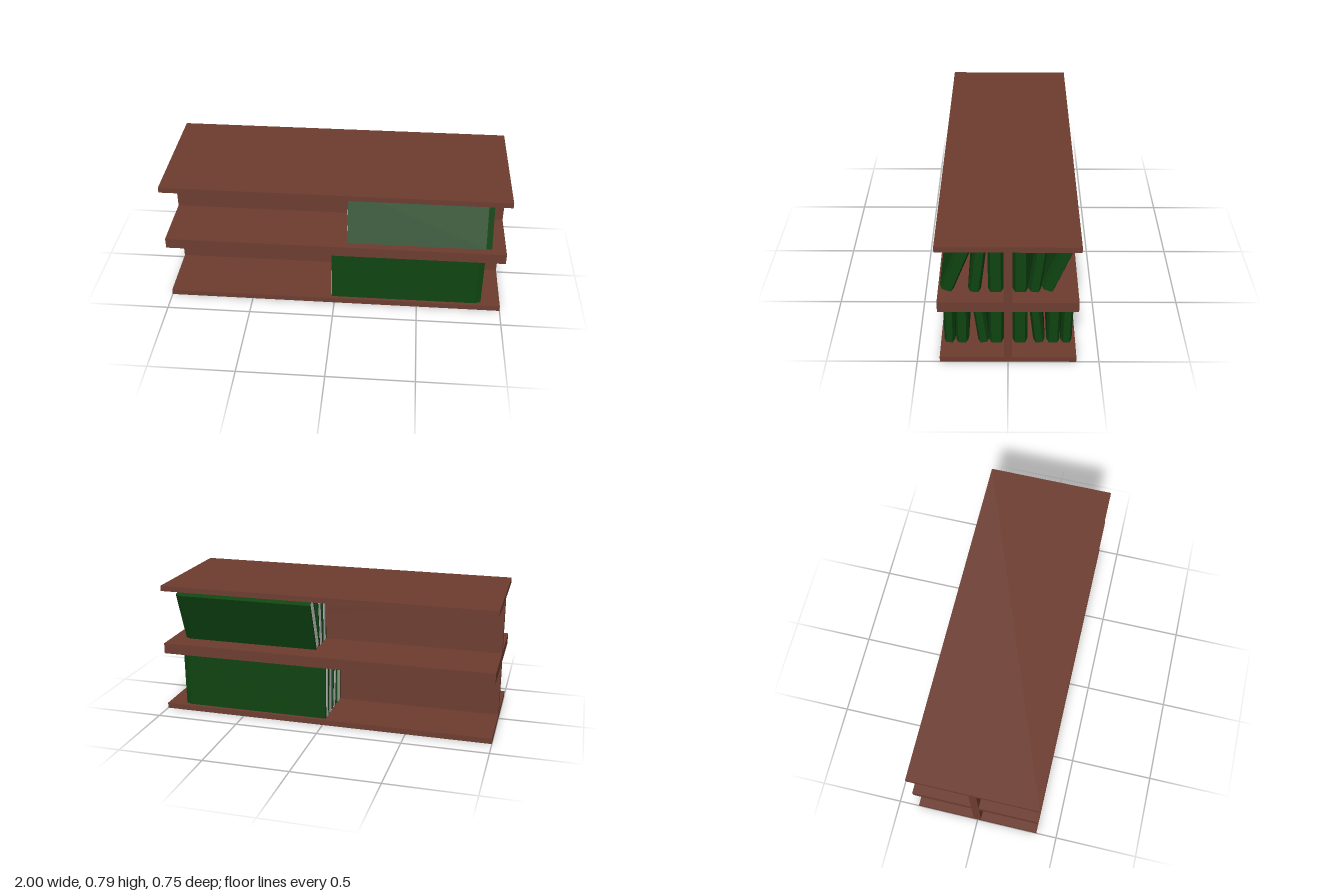
import * as THREE from 'three';

const wood = new THREE.MeshStandardMaterial({ color: 0x6e3d30, flatShading: true });
const cover = new THREE.MeshStandardMaterial({ color: 0x0f4411, flatShading: true });
const paper = new THREE.MeshStandardMaterial({ color: 0xcccccc, flatShading: true });

function addBox(parent, name, material, size, position) {
  const mesh = new THREE.Mesh(new THREE.BoxGeometry(...size), material);
  mesh.name = name;
  mesh.position.set(...position);
  parent.add(mesh);
}

// A book with a bevelled spine towards +x and the page edges towards -x
function makeBook(length, height, thickness) {
  const book = new THREE.Group();
  const l = length / 2, t = thickness / 2, bevel = 0.035, inset = 0.014;
  const shape = new THREE.Shape([
    [-l, -t], [l - bevel, -t], [l, -t + inset],
    [l, t - inset], [l - bevel, t], [-l, t],
  ].map(([x, y]) => new THREE.Vector2(x, y)));
  const geometry = new THREE.ExtrudeGeometry(shape, { depth: height, bevelEnabled: false });
  geometry.translate(0, 0, -height / 2).rotateX(-Math.PI / 2);
  const body = new THREE.Mesh(geometry, cover);
  body.name = 'bookCover';
  book.add(body);
  addBox(book, 'bookPages', paper, [0.004, height * 0.98, thickness * 0.55], [-l, 0, 0]);
  return book;
}

// Each row: x range, height, centre y, then books as [z, thickness, lean]
const rows = [
  {
    name: 'upperBook', x0: 0.075, x1: 0.915, height: 0.326, y: 0.588,
    books: [
      [0.27, 0.077, -0.36], [0.16, 0.07, -0.12], [0.066, 0.083, 0],
      [-0.066, 0.083, 0], [-0.16, 0.07, -0.115], [-0.269, 0.077, -0.36],
    ],
  },
  {
    name: 'lowerBook', x0: -0.015, x1: 0.885, height: 0.324, y: 0.197,
    books: [
      [0.325, 0.062, -0.01], [0.254, 0.072, -0.01], [0.154, 0.065, 0.11], [0.066, 0.083, 0],
      [-0.066, 0.083, 0], [-0.155, 0.065, 0.11], [-0.252, 0.074, -0.01], [-0.326, 0.064, -0.01],
    ],
  },
];

export function createModel() {
  const model = new THREE.Group();
  model.name = 'doubleSidedBookshelf';

  // Boards, from the bottom up: [name, bottom y, top y]
  const boards = [
    ['bottomBoard', 0, 0.033], ['middleBoard', 0.36, 0.424], ['topBoard', 0.753, 0.785],
  ];
  for (const [name, y0, y1] of boards) {
    addBox(model, name, wood, [2, y1 - y0, 0.75], [0, (y0 + y1) / 2, 0]);
  }

  // Central upright panels between the boards
  for (let i = 0; i < 2; i++) {
    const y0 = boards[i][2], y1 = boards[i + 1][1];
    addBox(model, 'dividerPanel', wood, [2, y1 - y0, 0.045], [0, (y0 + y1) / 2, 0]);
  }

  // Books on both sides of the divider
  for (const row of rows) {
    for (const [z, thickness, lean] of row.books) {
      const book = makeBook(row.x1 - row.x0, row.height, thickness);
      book.name = row.name;
      book.position.set((row.x0 + row.x1) / 2, row.y, z);
      book.rotation.x = lean;
      model.add(book);
    }
  }
  return model;
}
